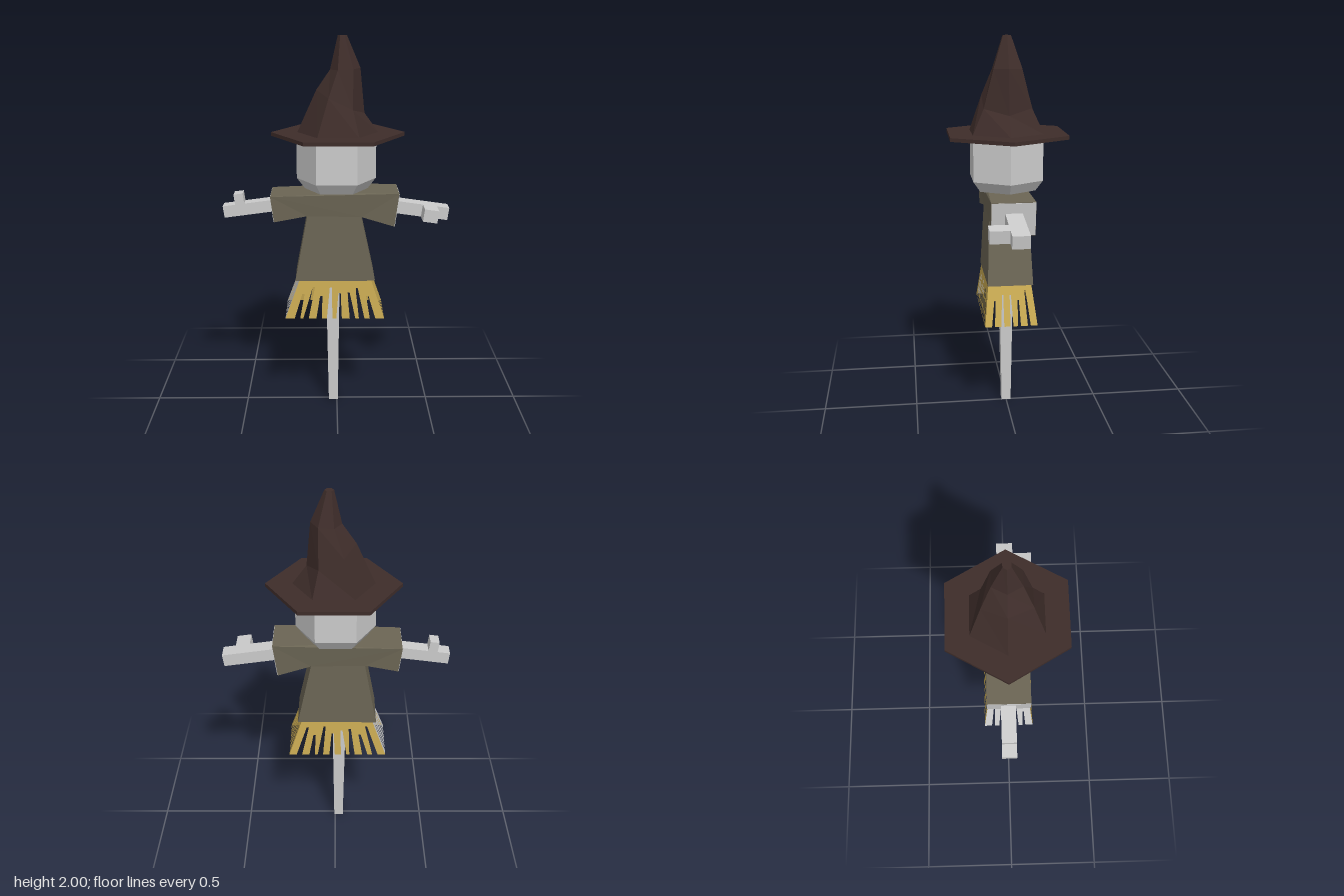
import * as THREE from 'three';

const mat = (color) => new THREE.MeshStandardMaterial({ color, flatShading: true, side: THREE.DoubleSide });

// Closed low-poly loft; ring = { x, y, rx, rz, tilt } where tilt is the slope of y along x
function loft(rings, sides, turn = 0) {
  const pos = [], idx = [];
  for (const { x = 0, y, rx, rz = rx, tilt = 0 } of rings) {
    for (let i = 0; i < sides; i++) {
      const a = turn + (i / sides) * Math.PI * 2;
      const dx = Math.cos(a) * rx;
      pos.push(x + dx, y + dx * tilt, Math.sin(a) * rz);
    }
  }
  const last = (rings.length - 1) * sides;
  for (let j = 0; j < last; j += sides) {
    for (let i = 0; i < sides; i++) {
      const n = (i + 1) % sides;
      idx.push(j + i, j + sides + i, j + sides + n, j + i, j + sides + n, j + n);
    }
  }
  for (let i = 1; i < sides - 1; i++) {
    idx.push(0, i, i + 1, last, last + i + 1, last + i);
  }
  const g = new THREE.BufferGeometry();
  g.setAttribute('position', new THREE.Float32BufferAttribute(pos, 3));
  g.setIndex(idx);
  const flat = g.toNonIndexed();
  flat.computeVertexNormals();
  return flat;
}

const polygon = (pts) => new THREE.Shape(pts.map(([x, y]) => new THREE.Vector2(x, y)));

// One fringe panel: a band cut into strands, mapped onto a flared trapezoid
function fringe(topA, topB, lowA, lowB, strands, phase) {
  const pts = [[0, 0], [0, 1]];
  for (let i = 1; i < strands; i++) {
    const u = i / strands;
    const lean = 0.014 * Math.sin(i * 2.3 + phase);
    const cut = 0.72 + 0.13 * Math.sin(i * 3.7 + phase);
    pts.push([u - 0.028 + lean, 0], [u - 0.014, cut], [u + 0.014, cut], [u + 0.028 + lean, 0]);
  }
  pts.push([1, 0], [1, 1]);
  // start at the low corner, follow the strands, then close along the top
  const outline = [[0, 1], [0, 0], ...pts.slice(2)];
  const g = new THREE.ShapeGeometry(polygon(outline));
  const p = g.attributes.position, a = new THREE.Vector3(), b = new THREE.Vector3();
  for (let i = 0; i < p.count; i++) {
    const u = p.getX(i), v = p.getY(i);
    a.lerpVectors(lowA, lowB, u);
    b.lerpVectors(topA, topB, u);
    a.lerp(b, v);
    p.setXYZ(i, a.x, a.y, a.z);
  }
  g.computeVertexNormals();
  return g;
}

export function createModel() {
  const model = new THREE.Group();
  const grey = mat(0xcccccc), felt = mat(0x3e2d2a), cloth = mat(0x6b6554), straw = mat(0xc8a952);
  const add = (name, geometry, material, parent = model) => {
    const mesh = new THREE.Mesh(geometry, material);
    mesh.name = name;
    parent.add(mesh);
    return mesh;
  };
  const box = (name, size, at, parent, material = grey) => {
    const mesh = add(name, new THREE.BoxGeometry(...size), material, parent);
    mesh.position.set(...at);
    return mesh;
  };

  // Tapered square pole
  add('pole', loft([
    { x: -0.02, y: 0, rx: 0.025 * Math.SQRT2 },
    { x: -0.022, y: 0.74, rx: 0.037 * Math.SQRT2 },
  ], 4, Math.PI / 4), grey);

  // Straw fringe on four sides
  const V = (x, y, z) => new THREE.Vector3(x, y, z);
  const top = [V(-0.2, 0.74, 0.115), V(0.18, 0.74, 0.115), V(0.18, 0.74, -0.11), V(-0.2, 0.74, -0.11)];
  const low = [V(-0.275, 0.535, 0.138), V(0.25, 0.535, 0.138), V(0.25, 0.535, -0.135), V(-0.275, 0.535, -0.135)];
  const skirt = new THREE.Group();
  skirt.name = 'strawFringe';
  model.add(skirt);
  ['Front', 'Left', 'Back', 'Right'].forEach((side, i) => {
    const n = (i + 1) % 4;
    add('fringe' + side, fringe(top[i], top[n], low[i], low[n], i % 2 ? 6 : 9, i * 1.7),
      side === 'Right' ? grey : straw, skirt);
  });

  // Tunic with short sleeves, deeper at the hem and cuffs
  const tunic = new THREE.ExtrudeGeometry(polygon([
    [-0.22, 0.74], [0.2, 0.74], [0.125, 1.085], [0.297, 1.035], [0.32, 1.21],
    [0.1, 1.215], [-0.345, 1.195], [-0.327, 1.06], [-0.155, 1.09],
  ]), { depth: 1, bevelEnabled: false });
  const p = tunic.attributes.position;
  for (let i = 0; i < p.count; i++) {
    const x = Math.abs(p.getX(i)), y = p.getY(i);
    const half = x > 0.25 ? 0.112 : y < 0.8 ? 0.118 : 0.104;
    p.setZ(i, p.getZ(i) > 0.5 ? half : -half);
  }
  tunic.computeVertexNormals();
  add('tunic', tunic, cloth);

  // Sleeve openings
  box('leftCuff', [0.004, 0.172, 0.222], [0.309, 1.1225, 0], model).rotation.z = -0.13;
  box('rightCuff', [0.004, 0.132, 0.222], [-0.336, 1.1275, 0], model).rotation.z = 0.13;

  // Wooden arms, each with a thumb peg
  const leftArm = new THREE.Group();
  leftArm.name = 'leftArm';
  leftArm.position.set(0.585, 1.083, 0);
  leftArm.rotation.z = -0.14;
  box('leftForearm', [0.36, 0.066, 0.087], [-0.18, 0, -0.001], leftArm);
  box('leftThumb', [0.075, 0.066, 0.1], [-0.103, 0, 0.092], leftArm);
  const rightArm = new THREE.Group();
  rightArm.name = 'rightArm';
  rightArm.position.set(-0.595, 1.095, -0.003);
  rightArm.rotation.z = 0.13;
  box('rightForearm', [0.36, 0.062, 0.075], [0.18, 0, 0], rightArm);
  box('rightThumb', [0.048, 0.06, 0.075], [0.09, 0.056, 0], rightArm);
  model.add(leftArm, rightArm);

  // Six-sided head with chamfered rims
  add('head', loft([
    { x: -0.003, y: 1.215, rx: 0.165 },
    { x: -0.003, y: 1.27, rx: 0.207 },
    { x: -0.003, y: 1.475, rx: 0.207 },
    { x: -0.003, y: 1.5, rx: 0.18 },
  ], 6), grey);

  // Slanted eyes and a grin lying on the front of the head
  const face = new THREE.Group();
  face.name = 'face';
  face.position.set(-0.003, 0, 0.1805);
  model.add(face);
  for (const s of [-1, 1]) {
    add(s > 0 ? 'leftEye' : 'rightEye', new THREE.ShapeGeometry(polygon([
      [s * 0.095, 1.425], [s * 0.03, 1.395], [s * 0.06, 1.388], [s * 0.08, 1.395],
    ])), grey, face);
  }
  const grin = new THREE.Shape();
  grin.moveTo(-0.095, 1.33);
  grin.quadraticCurveTo(0, 1.25, 0.095, 1.33);
  grin.lineTo(0.075, 1.322);
  grin.quadraticCurveTo(0, 1.305, -0.075, 1.322);
  add('mouth', new THREE.ShapeGeometry(grin, 4), grey, face);

  // Six-sided hat: flat brim and a crooked crown
  add('hatBrim', loft([
    { x: 0.005, y: 1.493, rx: 0.345 },
    { x: 0.005, y: 1.512, rx: 0.345 },
  ], 6), felt);
  add('hatCrown', loft([
    { x: 0.005, y: 1.51, rx: 0.21 },
    { x: 0.018, y: 1.67, rx: 0.123, rz: 0.142, tilt: -0.48 },
    { x: 0.042, y: 1.835, rx: 0.077, rz: 0.084, tilt: 0.06 },
    { x: 0.027, y: 2, rx: 0.023 },
  ], 6), felt);

  return model;
}
